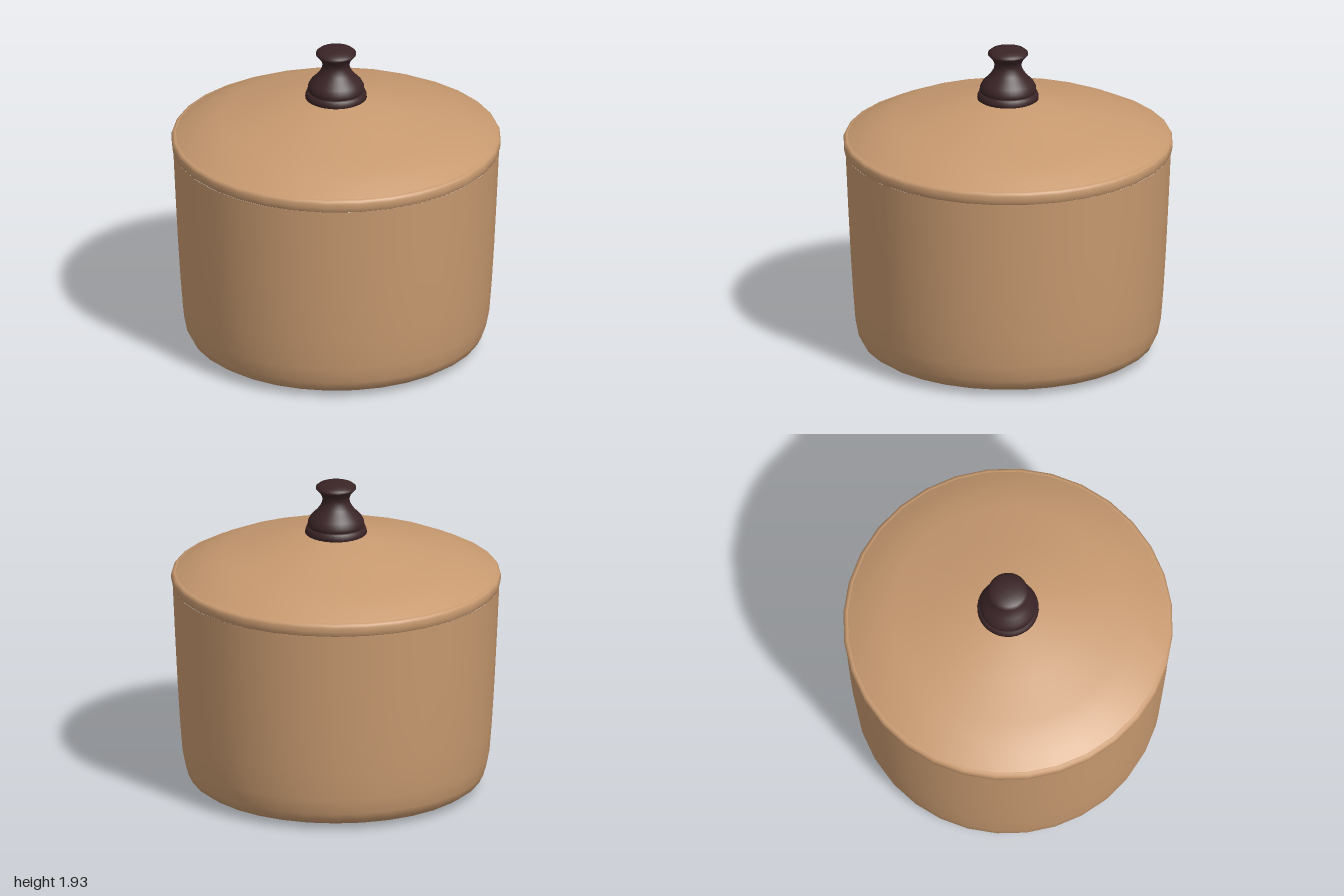
import * as THREE from 'three';

// Smooth surface of revolution from [radius, height] pairs, bottom to top
function turned(name, profile, material, segments) {
  const points = profile.map(([r, y]) => new THREE.Vector2(r, y));
  const mesh = new THREE.Mesh(new THREE.LatheGeometry(points, segments), material);
  mesh.name = name;
  return mesh;
}

export function createModel() {
  const clay = new THREE.MeshStandardMaterial({ color: 0xc89a70 });
  clay.name = 'tan enamel';
  const wood = new THREE.MeshStandardMaterial({ color: 0x3a2426 });
  wood.name = 'dark brown knob';

  const pot = new THREE.Group();
  pot.name = 'lidded pot';

  // Shallow dished underside
  pot.add(turned('potBase', [[0, 0], [0.4, 0.008], [0.78, 0.018]], clay, 32));

  // Tapered wall with a rounded foot
  pot.add(turned('potBody', [
    [0.78, 0.018], [0.84, 0.03], [0.885, 0.06], [0.91, 0.11], [0.93, 0.21],
    [0.945, 0.4], [0.96, 0.65], [0.975, 0.95], [0.99, 1.28],
  ], clay, 32));

  // Rim band, rolled over at the top
  pot.add(turned('rim', [
    [0.985, 1.278], [0.994, 1.285], [0.999, 1.31], [1, 1.335],
    [0.993, 1.35], [0.98, 1.357], [0.965, 1.357],
  ], clay, 32));

  // Low domed lid
  pot.add(turned('lid', [
    [0.975, 1.356], [0.9, 1.397], [0.81, 1.438], [0.7, 1.474],
    [0.45, 1.537], [0.19, 1.602], [0, 1.605],
  ], clay, 32));

  // Knob: base ring, waisted bulb and cap
  const knob = new THREE.Group();
  knob.name = 'knob';
  knob.add(
    turned('knobBase', [
      [0.175, 1.6], [0.187, 1.607], [0.186, 1.625], [0.178, 1.645], [0.165, 1.65], [0, 1.65],
    ], wood, 32),
    turned('knobBulb', [
      [0.165, 1.645], [0.172, 1.66], [0.17, 1.682], [0.155, 1.71], [0.125, 1.74],
      [0.1, 1.77], [0.085, 1.8], [0.082, 1.825], [0.092, 1.855], [0.122, 1.888],
    ], wood, 32),
    turned('knobCap', [
      [0.122, 1.888], [0.121, 1.9], [0.105, 1.913], [0.075, 1.924], [0.035, 1.929], [0, 1.93],
    ], wood, 32),
  );
  pot.add(knob);
  return pot;
}
